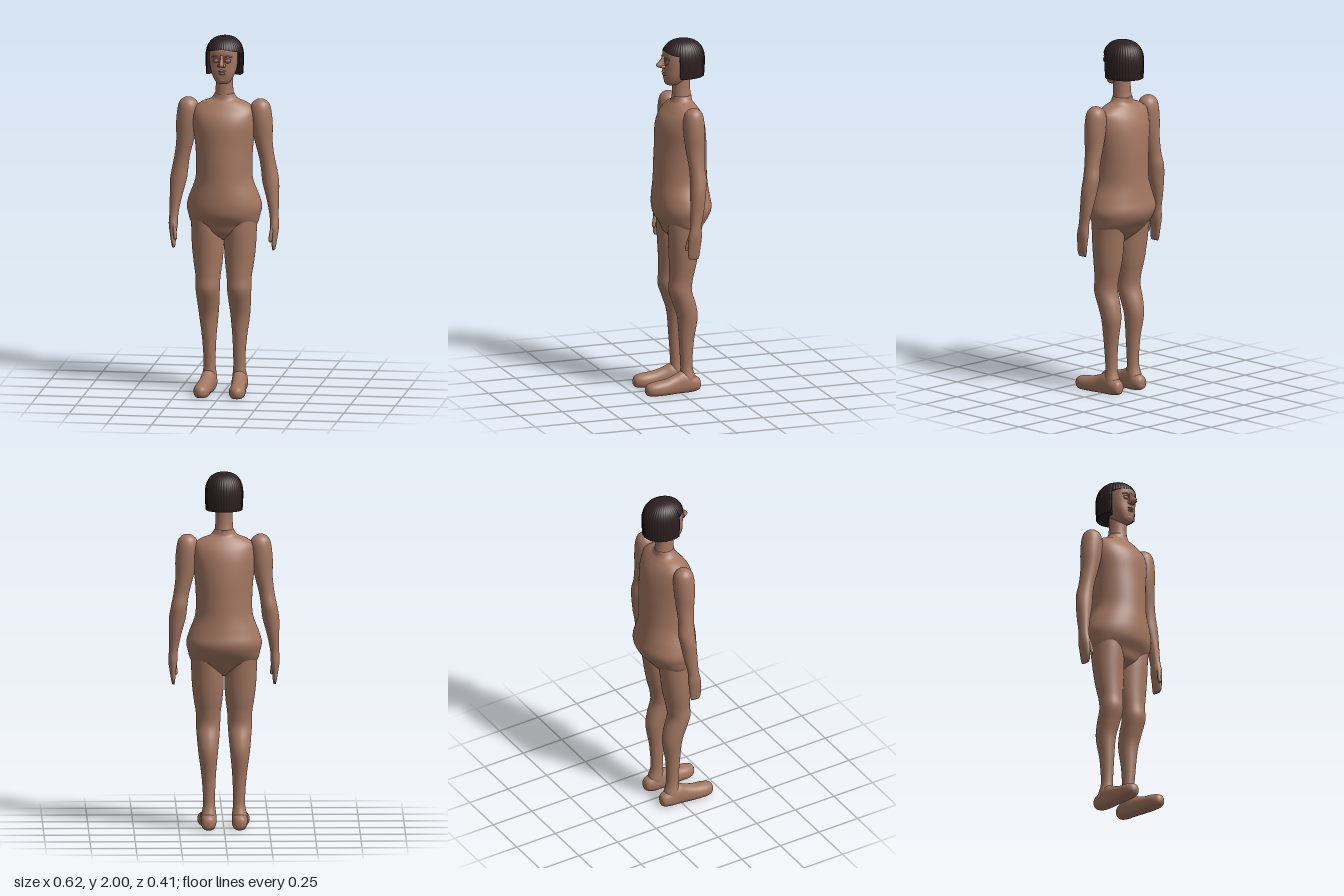
import * as THREE from 'three';

const skin = new THREE.MeshStandardMaterial({ color: 0xa37761 });
skin.name = 'skin';
const hairBrown = new THREE.MeshStandardMaterial({ color: 0x2c1f20 });
hairBrown.name = 'dark hair';

// Indexed surface from rings of equal length; closed around and capped at both ends
function skinRings(rings) {
  const n = rings[0].length, pos = rings.flat(2), idx = [];
  for (let i = 0; i < rings.length - 1; i++)
    for (let j = 0; j < n; j++) {
      const a = i * n + j, b = i * n + (j + 1) % n;
      idx.push(a, a + n, b, b, a + n, b + n);
    }
  const cap = (ring, start, flip) => {
    const c = pos.length / 3;
    pos.push(...[0, 1, 2].map(k => ring.reduce((s, p) => s + p[k], 0) / n));
    for (let j = 0; j < n; j++) {
      const a = start + j, b = start + (j + 1) % n;
      idx.push(c, ...(flip ? [b, a] : [a, b]));
    }
  };
  cap(rings[0], 0, false);
  cap(rings[rings.length - 1], (rings.length - 1) * n, true);
  const g = new THREE.BufferGeometry();
  g.setAttribute('position', new THREE.Float32BufferAttribute(pos, 3));
  g.setIndex(idx);
  g.computeVertexNormals();
  return g;
}

// Smooth loft through sections [x, y, z, rx, rz], listed from low y to high y
function loft(sections, { side = 1, power = 2, segs = 36, steps = 5 } = {}) {
  const curve = f => new THREE.CatmullRomCurve3(sections.map(f), false, 'catmullrom', 0.5);
  const centre = curve(s => new THREE.Vector3(s[0] * side, s[1], s[2]));
  const radius = curve(s => new THREE.Vector3(s[3], s[4], 0));
  const rings = [], count = (sections.length - 1) * steps;
  const round = v => Math.sign(v) * Math.abs(v) ** (2 / power);
  for (let i = 0; i <= count; i++) {
    const c = centre.getPoint(i / count), r = radius.getPoint(i / count);
    const ring = [];
    for (let j = 0; j < segs; j++) {
      const a = j / segs * Math.PI * 2;
      ring.push([c.x + Math.max(r.x, 0.001) * round(Math.cos(a)), c.y,
        c.z + Math.max(r.y, 0.001) * round(Math.sin(a))]);
    }
    rings.push(ring);
  }
  return skinRings(rings);
}

// Bobbed hair: fluted dome with a short fringe in front and a level hem behind
function bobGeometry() {
  const segs = 176, rows = 18, rings = [];
  const hem = a => Math.sin(a) > 0.43 ? 1.942 - 0.024 * Math.abs(Math.cos(a)) : 1.79;
  const ringAt = (u, inset) => {
    const ring = [];
    for (let j = 0; j < segs; j++) {
      const a = j / segs * Math.PI * 2;
      const y = 2 - (2 - hem(a)) * u * u;
      const h = Math.max(0, (y - 1.88) / 0.12);
      let r = Math.max(0.004, 1 - h ** 2.4) ** (1 / 2.4);
      if (y < 1.86) r -= (1.86 - y) * 0.5;
      r *= inset * (1 + 0.013 * Math.cos(a * 44));
      ring.push([0.105 * r * Math.cos(a), y, -0.053 + 0.122 * r * Math.sin(a)]);
    }
    return ring;
  };
  rings.push(ringAt(1, 0.5), ringAt(1, 0.97));
  for (let i = rows; i >= 1; i--) rings.push(ringAt(i / rows, 1));
  rings.push(ringAt(0, 0.02));
  return skinRings(rings);
}

export function createModel() {
  const model = new THREE.Group();
  model.name = 'figure';
  const add = (name, geometry, material = skin, parent = model) => {
    const m = new THREE.Mesh(geometry, material);
    m.name = name;
    parent.add(m);
    return m;
  };
  const blob = (name, p, s, parent) => {
    const m = add(name, new THREE.SphereGeometry(1, 16, 12), skin, parent);
    m.position.set(...p);
    m.scale.set(...s);
    return m;
  };

  // Trunk
  add('torso', loft([
    [0, 0.86, -0.03, 0.04, 0.03], [0, 0.9, -0.028, 0.13, 0.08],
    [0, 0.95, -0.037, 0.184, 0.112], [0, 1.0, -0.04, 0.2, 0.148],
    [0, 1.05, -0.043, 0.209, 0.162], [0, 1.11, -0.038, 0.193, 0.158],
    [0, 1.2, -0.035, 0.16, 0.15], [0, 1.3, -0.035, 0.156, 0.147],
    [0, 1.4, -0.037, 0.162, 0.143], [0, 1.5, -0.035, 0.175, 0.135],
    [0, 1.56, -0.037, 0.176, 0.118], [0, 1.6, -0.042, 0.165, 0.094],
    [0, 1.63, -0.043, 0.125, 0.072], [0, 1.65, -0.044, 0.075, 0.058],
    [0, 1.68, -0.045, 0.053, 0.054],
  ], { segs: 56 }));
  add('neck', loft([
    [0, 1.6, -0.045, 0.07, 0.06], [0, 1.66, -0.045, 0.055, 0.056],
    [0, 1.72, -0.042, 0.048, 0.05], [0, 1.83, -0.04, 0.047, 0.05],
  ]));

  // Head and face
  const head = new THREE.Group();
  head.name = 'head';
  model.add(head);
  add('skull', loft([
    [0, 1.742, 0.018, 0.015, 0.015], [0, 1.75, 0.012, 0.036, 0.036],
    [0, 1.775, -0.004, 0.054, 0.06], [0, 1.81, -0.015, 0.068, 0.074],
    [0, 1.85, -0.028, 0.077, 0.086], [0, 1.9, -0.038, 0.081, 0.097],
    [0, 1.94, -0.045, 0.077, 0.101], [0, 1.975, -0.053, 0.055, 0.075],
    [0, 1.985, -0.053, 0.02, 0.02],
  ], { power: 2.5, segs: 48 }), skin, head);
  add('nose', loft([
    [0, 1.842, 0.062, 0.006, 0.008], [0, 1.85, 0.07, 0.014, 0.026],
    [0, 1.863, 0.072, 0.013, 0.033], [0, 1.885, 0.062, 0.009, 0.024],
    [0, 1.91, 0.052, 0.008, 0.014],
  ], { segs: 20 }), skin, head);
  blob('chin', [0, 1.768, 0.043], [0.022, 0.016, 0.014], head);
  blob('upperLip', [0, 1.82, 0.058], [0.021, 0.006, 0.012], head);
  blob('lowerLip', [0, 1.806, 0.057], [0.019, 0.007, 0.012], head);
  for (const s of [1, -1]) {
    blob('nostril', [s * 0.014, 1.852, 0.066], [0.009, 0.009, 0.015], head);
    blob('eye', [s * 0.032, 1.878, 0.053], [0.015, 0.01, 0.009], head);
    const lid = add('eyelid', new THREE.TorusGeometry(0.017, 0.0025, 8, 24), skin, head);
    lid.position.set(s * 0.032, 1.879, 0.059);
    lid.scale.y = 0.7;
    lid.rotation.y = s * 0.2;
    add('brow', new THREE.TubeGeometry(new THREE.CatmullRomCurve3([
      new THREE.Vector3(s * 0.011, 1.896, 0.06),
      new THREE.Vector3(s * 0.032, 1.905, 0.059),
      new THREE.Vector3(s * 0.056, 1.896, 0.045),
    ]), 12, 0.004, 8), skin, head);
  }
  add('hair', bobGeometry(), hairBrown, head);

  for (const side of [1, -1]) {
    const label = side > 0 ? 'left' : 'right';

    // Arm from fingertips up to the rounded shoulder
    add(label + 'Arm', loft([
      [0.28, 0.81, -0.015, 0.007, 0.026], [0.281, 0.83, -0.014, 0.011, 0.033],
      [0.283, 0.88, -0.017, 0.017, 0.036], [0.283, 0.94, -0.022, 0.025, 0.038],
      [0.28, 1.0, -0.028, 0.025, 0.032], [0.271, 1.09, -0.039, 0.034, 0.039],
      [0.259, 1.18, -0.047, 0.046, 0.044], [0.249, 1.25, -0.053, 0.045, 0.047],
      [0.237, 1.32, -0.048, 0.043, 0.044], [0.22, 1.41, -0.044, 0.049, 0.051],
      [0.21, 1.5, -0.042, 0.06, 0.058], [0.203, 1.58, -0.042, 0.06, 0.058],
      [0.202, 1.625, -0.042, 0.049, 0.047], [0.203, 1.648, -0.042, 0.023, 0.022],
      [0.203, 1.652, -0.042, 0.004, 0.004],
    ], { side }));
    add(label + 'Thumb', new THREE.TubeGeometry(new THREE.CatmullRomCurve3([
      new THREE.Vector3(side * 0.278, 0.96, 0.0),
      new THREE.Vector3(side * 0.27, 0.91, 0.014),
      new THREE.Vector3(side * 0.265, 0.87, 0.022),
    ]), 10, 0.01, 12));
    blob(label + 'ThumbTip', [side * 0.265, 0.87, 0.022], [0.01, 0.014, 0.01]);

    // Leg from ankle up into the hip
    add(label + 'Leg', loft([
      [0.085, 0.04, -0.055, 0.04, 0.045], [0.085, 0.08, -0.05, 0.042, 0.044],
      [0.083, 0.15, -0.043, 0.033, 0.034], [0.085, 0.29, -0.042, 0.039, 0.042],
      [0.088, 0.42, -0.047, 0.053, 0.057], [0.088, 0.5, -0.03, 0.061, 0.064],
      [0.088, 0.58, -0.005, 0.067, 0.065], [0.087, 0.65, -0.01, 0.069, 0.066],
      [0.088, 0.73, -0.019, 0.08, 0.075], [0.09, 0.82, -0.024, 0.088, 0.084],
      [0.093, 0.91, -0.028, 0.089, 0.093], [0.1, 1.0, -0.035, 0.085, 0.1],
    ], { side }));

    // Foot lofted heel to toe, with a flattened sole
    const foot = loft([
      [0.09, -0.122, -0.04, 0.008, 0.014], [0.088, -0.112, -0.042, 0.03, 0.034],
      [0.086, -0.075, -0.046, 0.042, 0.05], [0.087, -0.02, -0.055, 0.043, 0.066],
      [0.092, 0.03, -0.045, 0.041, 0.056], [0.097, 0.09, -0.036, 0.044, 0.046],
      [0.099, 0.15, -0.032, 0.045, 0.042], [0.1, 0.19, -0.031, 0.031, 0.032],
      [0.1, 0.205, -0.03, 0.008, 0.012],
    ], { side, power: 2.2 });
    foot.rotateX(Math.PI / 2);
    const p = foot.attributes.position;
    for (let i = 0; i < p.count; i++) p.setY(i, Math.max(0, p.getY(i)));
    foot.computeVertexNormals();
    add(label + 'Foot', foot);
  }
  return model;
}
